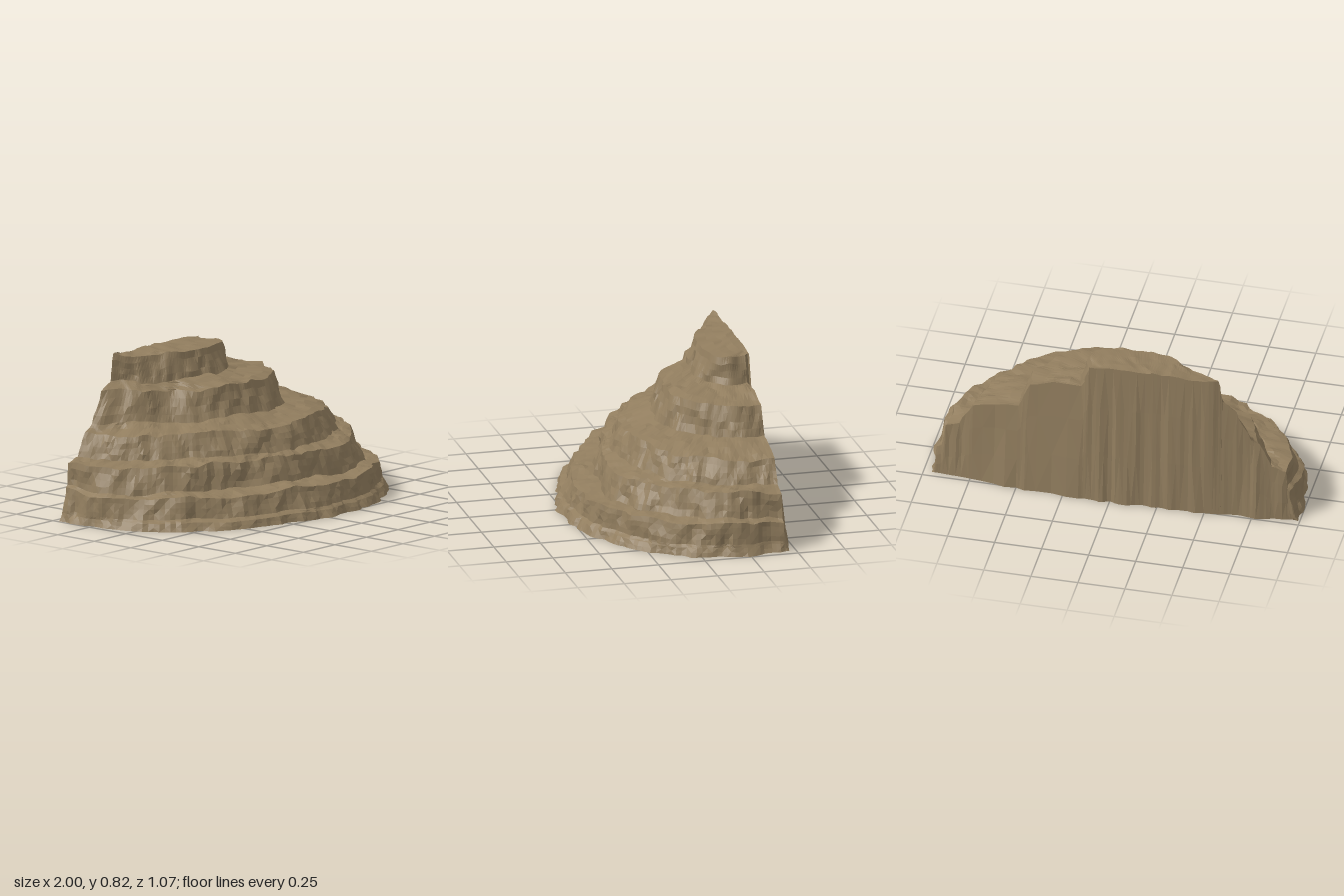
import * as THREE from 'three';

const COLUMNS = 120;
const CENTRE = new THREE.Vector3(-0.1, 0, -0.46);

// Smooth 3D value noise in -1..1
function hash(x, y, z) {
  let h = Math.imul(x, 374761393) ^ Math.imul(y, 668265263) ^ Math.imul(z, 1274126177);
  h = Math.imul(h ^ (h >>> 13), 1103515245);
  return ((h ^ (h >>> 16)) >>> 0) / 2147483648 - 1;
}
function noise(x, y, z) {
  const c = [x, y, z].map(Math.floor);
  const f = [x - c[0], y - c[1], z - c[2]].map(t => t * t * (3 - 2 * t));
  let sum = 0;
  for (let i = 0; i < 8; i++) {
    const b = [i & 1, (i >> 1) & 1, i >> 2];
    const w = b.reduce((p, on, k) => p * (on ? f[k] : 1 - f[k]), 1);
    sum += w * hash(c[0] + b[0], c[1] + b[1], c[2] + b[2]);
  }
  return sum;
}

// Spline through x,z pairs, running from the back right corner round the front
function contour(y, pairs) {
  const pts = [];
  for (let i = 0; i < pairs.length; i += 2) pts.push(new THREE.Vector3(pairs[i], y, pairs[i + 1]));
  return new THREE.CatmullRomCurve3(pts).getPoints(COLUMNS);
}

// Surface through rows of equally many points
function loft(rows) {
  const n = rows[0].length;
  const index = [];
  for (let r = 0; r < rows.length - 1; r++) {
    for (let j = 0; j < n - 1; j++) {
      const a = r * n + j, b = a + 1, c = a + n, d = c + 1;
      if ((r + j) % 2) index.push(a, b, c, b, d, c);
      else index.push(a, b, d, a, d, c);
    }
  }
  const g = new THREE.BufferGeometry().setFromPoints(rows.flat());
  g.setIndex(index);
  g.computeVertexNormals();
  return g;
}

export function createModel() {
  const group = new THREE.Group();
  group.name = 'terracedCliff';
  const rock = new THREE.MeshStandardMaterial({ color: 0x917d5e, flatShading: true, side: THREE.DoubleSide });
  rock.name = 'brown rock';

  const base = contour(0.01, [-0.98, -0.46, -0.98, -0.18, -0.78, 0.19, -0.4, 0.42, 0, 0.52, 0.4, 0.48, 0.78, 0.26, 0.97, -0.1, 0.97, -0.44]);
  // Each terrace: foot height, riser depth, lip height, lip contour
  const terraces = [
    [0.065, 0.035, 0.17, [-0.96, -0.46, -0.95, -0.18, -0.72, 0.13, -0.37, 0.34, 0, 0.45, 0.38, 0.43, 0.72, 0.22, 0.93, -0.1, 0.93, -0.44]],
    [0.185, 0.05, 0.31, [-0.92, -0.46, -0.88, -0.2, -0.66, 0.03, -0.35, 0.18, 0, 0.28, 0.35, 0.3, 0.64, 0.14, 0.84, -0.12, 0.87, -0.44]],
    [0.33, 0.06, 0.45, [-0.78, -0.46, -0.68, -0.24, -0.52, -0.08, -0.3, 0.08, 0, 0.18, 0.28, 0.16, 0.54, 0.03, 0.7, -0.2, 0.75, -0.44]],
    [0.49, 0.065, 0.645, [-0.66, -0.46, -0.5, -0.3, -0.38, -0.22, -0.22, -0.09, -0.04, -0.04, 0.16, -0.05, 0.32, -0.15, 0.41, -0.28, 0.45, -0.45]],
    [0.68, 0.05, 0.815, [-0.55, -0.46, -0.46, -0.39, -0.36, -0.33, -0.25, -0.29, -0.13, -0.27, 0, -0.27, 0.08, -0.3, 0.12, -0.37, 0.13, -0.45]],
  ];

  // Contours from the ground up: base, low kerb, then foot and lip of each terrace
  const kerb = base.map(p => p.clone().lerp(CENTRE, 0.02).setY(0.05));
  const rings = [base, kerb];
  let outer = kerb;
  for (const [footY, depth, lipY, pairs] of terraces) {
    const lip = contour(lipY, pairs);
    const foot = lip.map((p, j) => {
      const out = p.clone().sub(CENTRE).setY(0).normalize();
      const gap = Math.hypot(outer[j].x - p.x, outer[j].z - p.z);
      return p.clone().addScaledVector(out, Math.min(depth, gap * 0.6)).setY(footY);
    });
    rings.push(foot, lip);
    outer = lip;
  }
  // Summit closes on a straight line along the back
  rings.push(base.map((p, j) => new THREE.Vector3(-0.52 + 0.64 * j / COLUMNS, 0.825, -0.47)));

  // Subdivide between contours
  const rows = [];
  for (let r = 0; r < rings.length - 1; r++) {
    const steps = r === 0 ? 2 : 4;
    for (let s = 0; s < steps; s++) {
      rows.push(rings[r].map((p, j) => p.clone().lerp(rings[r + 1][j], s / steps)));
    }
  }
  rows.push(rings[rings.length - 1]);

  // Roughen: clefts push in and out, ledges roll up and down
  rows.forEach((row, r) => row.forEach(p => {
    const { x, y, z } = p;
    const push = 0.022 * noise(x * 9, y * 6 + 3, z * 9) + 0.015 * noise(x * 24, y * 14, z * 24 + 7);
    const out = p.clone().sub(CENTRE).setY(0).normalize();
    const atBack = r === rows.length - 1;
    if (!atBack) {
      p.x += out.x * push;
      p.z = Math.max(p.z + out.z * push, -0.475);
    }
    if (r > 0) p.y += Math.min(1, y * 6) * (0.014 * noise(x * 7 + 5, 1, z * 7) + 0.009 * noise(x * 22, y * 9, z * 22));
    p.x = THREE.MathUtils.clamp(p.x, -1, 1);
  }));

  const terraceMesh = new THREE.Mesh(loft(rows), rock);
  terraceMesh.name = 'rockTerraces';
  group.add(terraceMesh);

  // Back wall: hangs from the rear edge of the terraces to the ground, pleated vertically
  const summit = rows[rows.length - 1];
  const edge = [
    ...rows.map(row => row[0]),
    ...summit.filter((p, j) => j > 0 && j < COLUMNS && j % 4 === 0),
    ...rows.map(row => row[COLUMNS]).reverse(),
  ];
  const ground = edge.map(p => new THREE.Vector3(
    p.x, 0.01, Math.min(p.z, -0.465 - 0.055 * (1 - p.x * p.x) + 0.012 * noise(p.x * 22, 2, 5))));
  const wallRows = [0, 0.3, 0.65, 1].map(t => edge.map((p, j) => p.clone().lerp(ground[j], t)));
  wallRows.slice(1, 3).forEach(row => row.forEach(p => { p.z += 0.006 * noise(p.x * 30, 4, 9); }));
  const wall = new THREE.Mesh(loft(wallRows), rock);
  wall.name = 'backWall';
  group.add(wall);

  return group;
}
